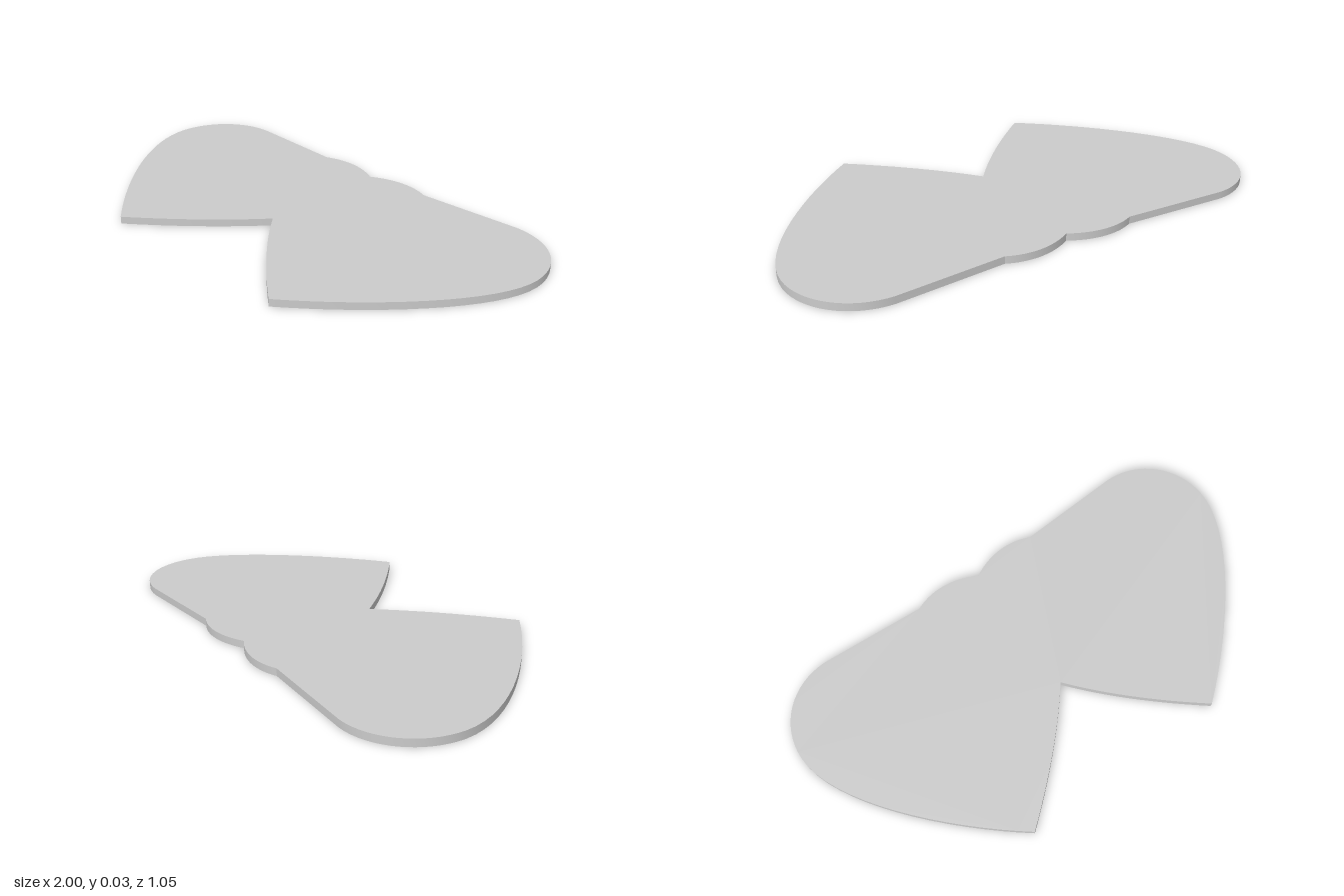
import * as THREE from 'three';
import { toCreasedNormals } from 'three/addons/utils/BufferGeometryUtils.js';

// Right half of the outline, from the front notch around to the back notch
function halfOutline() {
  const path = new THREE.Path();
  path.moveTo(0, -0.1);
  path.quadraticCurveTo(0.168, -0.31, 0.433, -0.525); // inner edge to the tip
  path.bezierCurveTo(0.7, -0.315, 1, 0.02, 1, 0.24); // outer edge
  path.bezierCurveTo(1, 0.4, 0.88, 0.525, 0.72, 0.527); // rounded shoulder
  path.lineTo(0.28, 0.5); // shallow straight edge
  path.bezierCurveTo(0.2, 0.538, 0.1, 0.538, 0, 0.48); // small centre bump
  return path.getPoints(16);
}

export function createModel() {
  const group = new THREE.Group();
  group.name = 'doubleHeartPlate';

  // Mirror the half outline, leaving out the two shared notch points
  const right = halfOutline();
  const left = right.slice(1, -1).reverse().map((p) => new THREE.Vector2(-p.x, p.y));
  const shape = new THREE.Shape([...right, ...left]);

  // Thin flat plate, laid down on the ground
  const flat = new THREE.ExtrudeGeometry(shape, { depth: 0.03, bevelEnabled: false });
  flat.rotateX(-Math.PI / 2);
  const plate = new THREE.Mesh(
    toCreasedNormals(flat, 0.4),
    new THREE.MeshStandardMaterial({ color: 0xcccccc })
  );
  plate.name = 'heartPlate';
  group.add(plate);
  return group;
}
